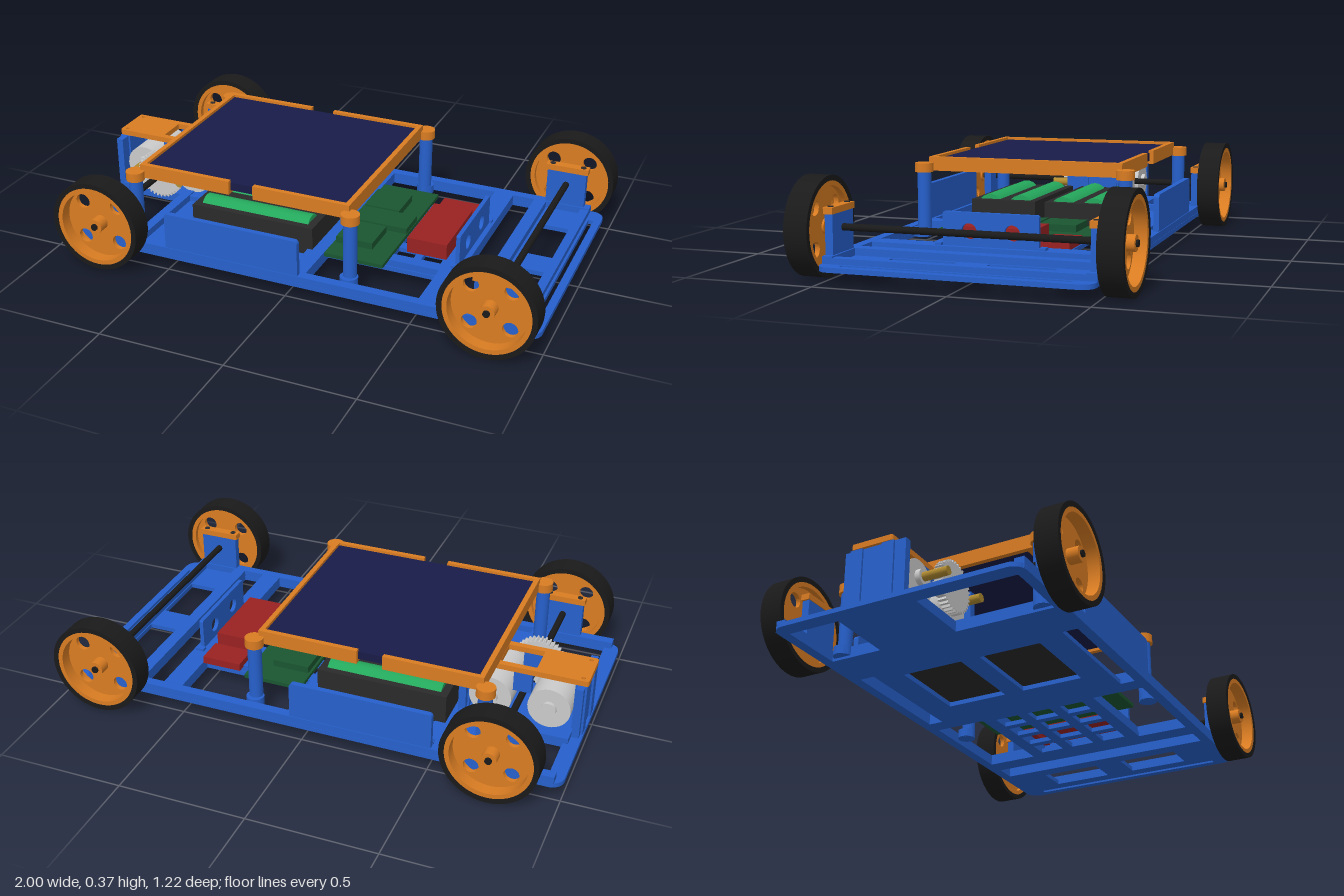
import * as THREE from 'three';

const mat = (color) => new THREE.MeshStandardMaterial({ color });
const BLUE = mat(0x2660cc), ORANGE = mat(0xd97c22), NAVY = mat(0x181b48), GREEN = mat(0x1a5530);
const CELL = mat(0x24a85c), RED = mat(0x992222), BLACK = mat(0x1a1a1a), BOX = mat(0x2a2a2a);
const GREY = mat(0xcccccc), BRASS = mat(0xb08a30);

export function createModel() {
  const model = new THREE.Group();

  const add = (name, geo, material, x = 0, y = 0, z = 0, parent = model) => {
    const m = new THREE.Mesh(geo, material);
    m.name = name;
    m.position.set(x, y, z);
    parent.add(m);
    return m;
  };
  // Box given by its limits on each axis
  const box = (name, material, x0, x1, y0, y1, z0, z1) =>
    add(name, new THREE.BoxGeometry(x1 - x0, y1 - y0, z1 - z0), material, (x0 + x1) / 2, (y0 + y1) / 2, (z0 + z1) / 2);
  // Cylinder lying along z
  const rodZ = (name, material, r, x, y, z0, z1, sides = 32) =>
    add(name, new THREE.CylinderGeometry(r, r, z1 - z0, sides).rotateX(Math.PI / 2), material, x, y, (z0 + z1) / 2);
  const roundRect = (x0, x1, y0, y1, r) => {
    const s = new THREE.Shape();
    s.absarc(x1 - r, y1 - r, r, 0, Math.PI / 2);
    s.absarc(x0 + r, y1 - r, r, Math.PI / 2, Math.PI);
    s.absarc(x0 + r, y0 + r, r, Math.PI, Math.PI * 1.5);
    s.absarc(x1 - r, y0 + r, r, Math.PI * 1.5, Math.PI * 2);
    s.closePath();
    return s;
  };
  const circle = (x, y, r) => new THREE.Path().absarc(x, y, r, 0, Math.PI * 2, true);
  const extrude = (shape, depth) => new THREE.ExtrudeGeometry(shape, { depth, bevelEnabled: false, curveSegments: 16 });

  // Floor plate with its windows, given as x0, x1, z0, z1
  const plate = roundRect(-1, 0.98, -0.5, 0.5, 0.05);
  const windows = [
    [-0.94, -0.68, -0.46, -0.25], [-0.94, -0.68, 0.07, 0.46],
    [0.6, 0.69, -0.46, 0.46], [0.93, 0.95, -0.42, 0.42],
  ];
  for (const s of [-1, 1]) {
    const sym = (x0, x1, a, b) => windows.push([x0, x1, Math.min(s * a, s * b), Math.max(s * a, s * b)]);
    sym(0.75, 0.88, 0.06, 0.31);
    sym(-0.5, 0, 0.4, 0.46);
    sym(-0.46, -0.12, 0.04, 0.29);
    sym(0.07, 0.52, 0.25, 0.46);
  }
  for (let i = 0; i < 4; i++)
    for (let j = -1; j <= 1; j++)
      windows.push([0.085 + i * 0.11, 0.165 + i * 0.11, j * 0.145 - 0.05, j * 0.145 + 0.05]);
  for (const [x0, x1, z0, z1] of windows) plate.holes.push(roundRect(x0, x1, -z1, -z0, 0.005));
  add('floorPlate', extrude(plate, 0.018).rotateX(-Math.PI / 2), BLUE, 0, 0.05, 0);

  // Raised cross bars
  box('middleCrossBar', BLUE, 0.0, 0.07, 0.055, 0.095, -0.46, 0.46);
  box('sensorCrossBar', BLUE, 0.52, 0.6, 0.055, 0.095, -0.46, 0.46);
  box('frontCrossBar', BLUE, 0.69, 0.74, 0.055, 0.095, -0.49, 0.49);
  box('frontCrossBar', BLUE, 0.885, 0.92, 0.055, 0.09, -0.47, 0.47);
  box('rearCrossBar', BLUE, -0.68, -0.64, 0.055, 0.095, -0.46, 0.46);
  for (const z of [-0.22, 0.22]) box('trayRail', BLUE, 0.07, 0.52, 0.055, 0.095, z - 0.025, z + 0.025);

  // Side rails, side walls and axle mounts
  for (const s of [-1, 1]) {
    box('sideRail', BLUE, -0.97, 0.92, 0.052, 0.095, s * 0.48 - 0.019, s * 0.48 + 0.019);
    add('sideWall', extrude(roundRect(-0.51, 0.05, 0.05, 0.24, 0.015), 0.022), BLUE, 0, 0, s * 0.485 - 0.011);
    for (const x of [-0.755, 0.815]) {
      box('axleMount', BLUE, x - 0.08, x + 0.08, 0.055, 0.24, s * 0.483 - 0.015, s * 0.483 + 0.015);
      box('axleMountCap', ORANGE, x - 0.087, x + 0.087, 0.24, 0.264, s * 0.483 - 0.018, s * 0.483 + 0.018);
      for (const dx of [-0.063, 0.063])
        add('capScrew', new THREE.CylinderGeometry(0.011, 0.011, 0.006, 16), BOX, x + dx, 0.264, s * 0.483);
    }
  }

  // Axles and wheels
  const disc = new THREE.Shape().absarc(0, 0, 0.148, 0, Math.PI * 2);
  for (const dx of [-1, 1]) for (const dy of [-1, 1]) disc.holes.push(circle(dx * 0.075, dy * 0.075, 0.029));
  const webGeo = extrude(disc, 0.018);
  const ring = (pts) => new THREE.LatheGeometry(pts.map(([r, z]) => new THREE.Vector2(r, z)), 48).rotateX(Math.PI / 2);
  // Ring of rectangular section; doubled corners keep its edges crisp
  const band = (ri, ro, z0, z1) => ring([
    [ri, z0], [ro, z0], [ro, z0], [ro, z1], [ro, z1], [ri, z1], [ri, z1], [ri, z0],
  ]);
  const tyreGeo = band(0.163, 0.183, -0.045, 0.045);
  const rimGeo = band(0.145, 0.163, -0.043, 0.043);
  const bossGeo = band(0.013, 0.029, -0.03, 0.042);
  for (const x of [-0.755, 0.815]) {
    rodZ('axle', BLACK, 0.013, x, 0.184, -0.61, 0.61, 20);
    for (const s of [-1, 1]) {
      const wheel = new THREE.Group();
      wheel.name = 'wheel';
      wheel.position.set(x, 0.184, s * 0.56);
      if (s < 0) wheel.rotation.y = Math.PI;
      add('tyre', tyreGeo, BLACK, 0, 0, 0, wheel);
      add('rim', rimGeo, ORANGE, 0, 0, 0, wheel);
      add('wheelWeb', webGeo, ORANGE, 0, 0, -0.022, wheel);
      add('hubBoss', bossGeo, ORANGE, 0, 0, 0, wheel);
      model.add(wheel);
    }
  }

  // Motor cradle, twin motors and bridging top plate
  box('motorBase', BLUE, -0.96, -0.53, 0.055, 0.09, -0.25, 0.07);
  for (const x of [-0.975, -0.535]) {
    box('motorEndWall', BLUE, x - 0.014, x + 0.014, 0.055, 0.28, -0.2, 0.05);
    for (const z of [-0.15, -0.02]) box('motorPost', BLUE, x - 0.022, x + 0.022, 0.055, 0.28, z - 0.025, z + 0.025);
  }
  for (const z of [-0.158, -0.012]) box('motorCentrePost', BLUE, -0.79, -0.72, 0.2, 0.28, z - 0.012, z + 0.012);
  for (const x of [-0.868, -0.642]) {
    rodZ('motor', GREY, 0.082, x, 0.172, -0.2, 0.03);
    rodZ('motorNose', GREY, 0.03, x, 0.184, 0.03, 0.05);
    rodZ('motorTail', GREY, 0.03, x, 0.172, -0.215, -0.2);
    rodZ('pinion', BRASS, 0.017, x, 0.184, 0.05, 0.15, 14);
  }
  const top = roundRect(-1, -0.51, 0, 0.17, 0.01);
  top.holes.push(roundRect(-0.8, -0.66, 0.025, 0.145, 0.005));
  for (const z of [0.02, 0.15]) top.holes.push(circle(-0.975, z, 0.008));
  add('motorTopPlate', extrude(top, 0.022).rotateX(-Math.PI / 2), ORANGE, 0, 0.28, 0);

  // Toothed drive gear on the rear axle
  const gear = new THREE.Shape();
  const teeth = 36;
  for (let i = 0; i < teeth * 4; i++) {
    const a = (i / (teeth * 4)) * Math.PI * 2, r = i % 4 < 2 ? 0.1 : 0.09;
    gear[i ? 'lineTo' : 'moveTo'](Math.cos(a) * r, Math.sin(a) * r);
  }
  gear.closePath();
  add('driveGear', extrude(gear, 0.034), GREY, -0.755, 0.184, 0.076);

  // Battery holders with cells
  for (const s of [-1, 1]) {
    box('batteryHolder', BOX, -0.5, 0.02, 0.07, 0.185, s * 0.155 - 0.135, s * 0.155 + 0.135);
    for (const z of [0.09, 0.22])
      add('batteryCell', new THREE.CylinderGeometry(0.055, 0.055, 0.46, 24).rotateZ(Math.PI / 2), CELL, -0.24, 0.15, s * z);
  }

  // Control boards and driver blocks
  box('controlBoard', GREEN, 0.08, 0.32, 0.093, 0.108, -0.32, 0.315);
  box('upperBoard', GREEN, 0.09, 0.32, 0.112, 0.135, -0.06, 0.06);
  box('upperBoard', GREEN, 0.09, 0.24, 0.108, 0.135, 0.07, 0.22);
  box('upperBoard', GREEN, 0.09, 0.24, 0.108, 0.135, -0.22, -0.07);
  box('driverBlock', RED, 0.36, 0.52, 0.095, 0.157, -0.15, 0.16);
  box('smallDriverBlock', RED, 0.36, 0.52, 0.09, 0.12, -0.28, -0.17);

  // Upright sensor plate with two round openings
  const sensor = roundRect(-0.185, 0.185, 0.09, 0.22, 0.008);
  for (const z of [-0.083, 0.083]) sensor.holes.push(circle(z, 0.15, 0.03));
  add('sensorPlate', extrude(sensor, 0.016).rotateY(Math.PI / 2), BLUE, 0.564, 0, 0);
  for (const z of [-0.2, 0.2]) box('sensorPlateFoot', BLUE, 0.555, 0.59, 0.09, 0.105, z - 0.012, z + 0.012);

  // Flat panel in a frame whose long sides have a gap
  box('panel', NAVY, -0.648, 0.198, 0.332, 0.364, -0.375, 0.375);
  for (const x of [-0.656, 0.206]) box('panelFrameEnd', ORANGE, x - 0.01, x + 0.01, 0.32, 0.375, -0.392, 0.392);
  for (const s of [-1, 1]) {
    for (const [x0, x1] of [[-0.666, -0.28], [-0.18, 0.216]])
      box('panelFrameSide', ORANGE, x0, x1, 0.32, 0.375, s * 0.382 - 0.01, s * 0.382 + 0.01);
    // Lips under the panel edges
    box('panelLip', ORANGE, -0.65, -0.28, 0.32, 0.331, s * 0.36 - 0.02, s * 0.36 + 0.02);
    box('panelLip', ORANGE, -0.18, 0.2, 0.32, 0.331, s * 0.36 - 0.02, s * 0.36 + 0.02);
    // Corner posts
    for (const x of [-0.68, 0.227]) {
      add('panelPost', new THREE.CylinderGeometry(0.027, 0.027, 0.26, 24), BLUE, x, 0.19, s * 0.408);
      add('panelPostCap', new THREE.CylinderGeometry(0.036, 0.036, 0.036, 24), ORANGE, x, 0.334, s * 0.408);
      add('postFoot', new THREE.CylinderGeometry(0.035, 0.035, 0.035, 24), BLUE, x, 0.078, s * 0.418);
    }
  }
  return model;
}
